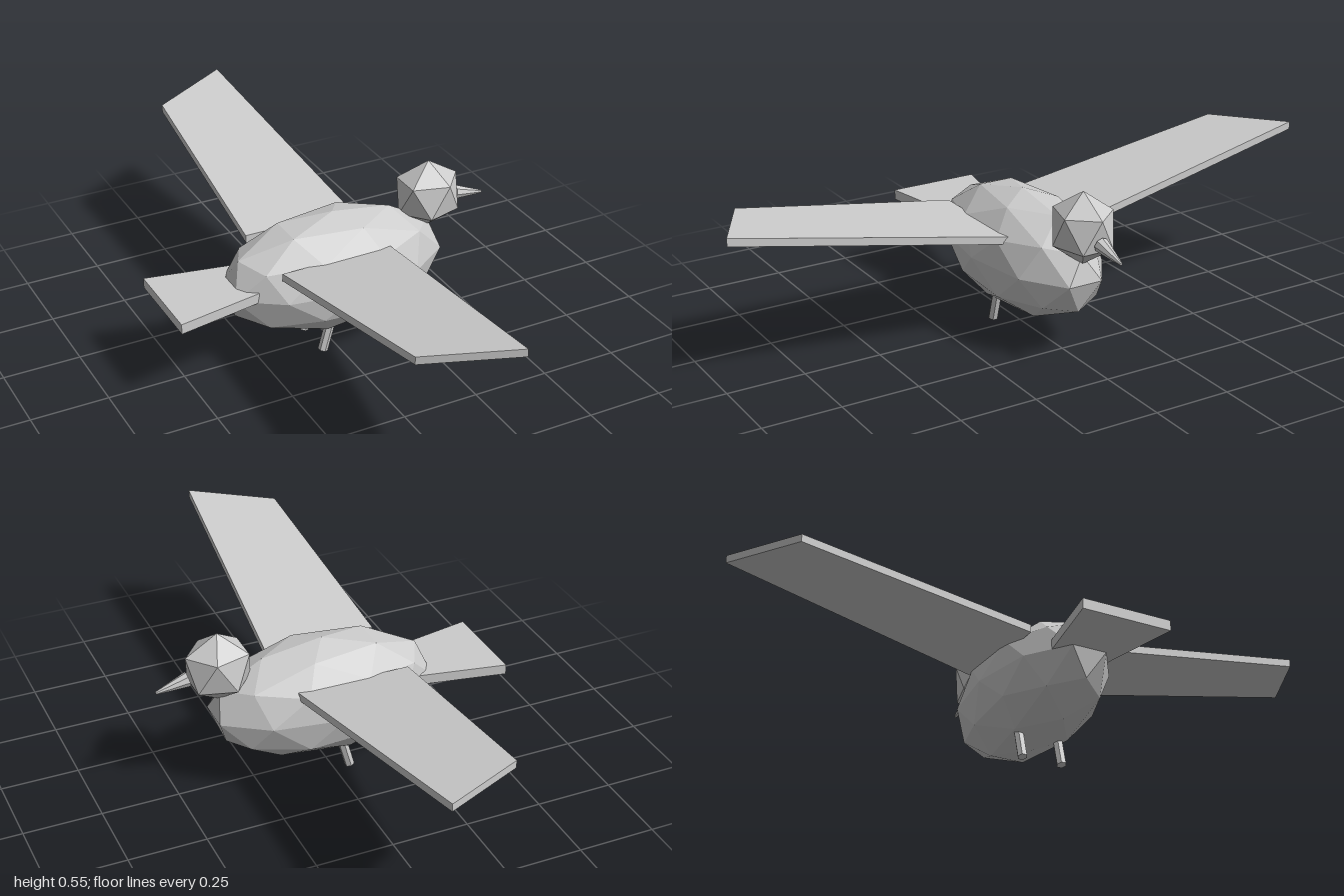
import * as THREE from 'three';

const grey = new THREE.MeshStandardMaterial({ color: 0xcccccc, flatShading: true });
grey.name = 'plain grey';

function part(name, geometry) {
  const mesh = new THREE.Mesh(geometry, grey);
  mesh.name = name;
  return mesh;
}

// Icosphere with its poles on y and an upper ring corner on +x
function icosphere(rx, ry, rz, detail) {
  const verts = [0, 1, 0];
  const ring = (y, offset) => {
    for (let i = 0; i < 5; i++) {
      const a = (i * 72 + offset) * Math.PI / 180;
      verts.push(0.894 * Math.cos(a), y, 0.894 * Math.sin(a));
    }
  };
  ring(0.447, 0);
  ring(-0.447, 36);
  verts.push(0, -1, 0);
  const faces = [];
  for (let i = 0; i < 5; i++) {
    const n = (i + 1) % 5;
    const u = 1 + i, un = 1 + n, l = 6 + i, ln = 6 + n;
    faces.push(0, un, u, u, un, l, un, ln, l, l, ln, 11);
  }
  const geo = new THREE.PolyhedronGeometry(verts, faces, 1, detail);
  geo.scale(rx, ry, rz);
  geo.computeVertexNormals();
  return geo;
}

// Flat plate from an [x, z] outline, rising outwards by slope from z = root
function plate(outline, y, thickness, slope = 0, root = 0) {
  const shape = new THREE.Shape(outline.map(([x, z]) => new THREE.Vector2(x, z)));
  const geo = new THREE.ExtrudeGeometry(shape, { depth: thickness, bevelEnabled: false });
  geo.rotateX(Math.PI / 2);
  geo.translate(0, y + thickness, 0);
  const pos = geo.attributes.position;
  for (let i = 0; i < pos.count; i++) {
    pos.setY(i, pos.getY(i) + slope * (Math.abs(pos.getZ(i)) - root));
  }
  geo.computeVertexNormals();
  return geo;
}

// Tapered rod between two points
function rod(from, to, r0, r1, sides) {
  const a = new THREE.Vector3(...from), b = new THREE.Vector3(...to);
  const dir = b.clone().sub(a);
  const geo = new THREE.CylinderGeometry(r1, r0, dir.length(), sides);
  geo.applyQuaternion(new THREE.Quaternion().setFromUnitVectors(
    new THREE.Vector3(0, 1, 0), dir.normalize()));
  const mid = a.add(b).multiplyScalar(0.5);
  geo.translate(mid.x, mid.y, mid.z);
  return geo;
}

export function createModel() {
  const bird = new THREE.Group();
  bird.name = 'bird';

  const body = part('body', icosphere(0.379, 0.195, 0.185, 1));
  body.position.set(0.015, 0.26, 0);
  const head = part('head', icosphere(0.115, 0.115, 0.1, 0));
  head.position.set(0.355, 0.435, 0);
  bird.add(body, head);

  bird.add(part('beak', rod([0.452, 0.414, 0], [0.555, 0.39, 0], 0.024, 0.005, 8)));
  bird.add(part('tail', plate(
    [[-0.56, -0.148], [-0.56, 0.148], [-0.282, 0.095], [-0.282, -0.095]], 0.26, 0.033)));

  // Wings and legs on both sides
  for (const [side, s] of [['left', -1], ['right', 1]]) {
    bird.add(part(side + 'Wing', plate(
      [[0.149, s * 0.13], [0.08, s], [-0.187, s * 0.865], [-0.22, s * 0.13]],
      0.338, 0.025, 0.175, 0.13)));
    bird.add(part(side + 'Leg', rod(
      [-0.053, 0.005, s * 0.068], [-0.018, 0.13, s * 0.068], 0.016, 0.016, 6)));
  }
  return bird;
}
